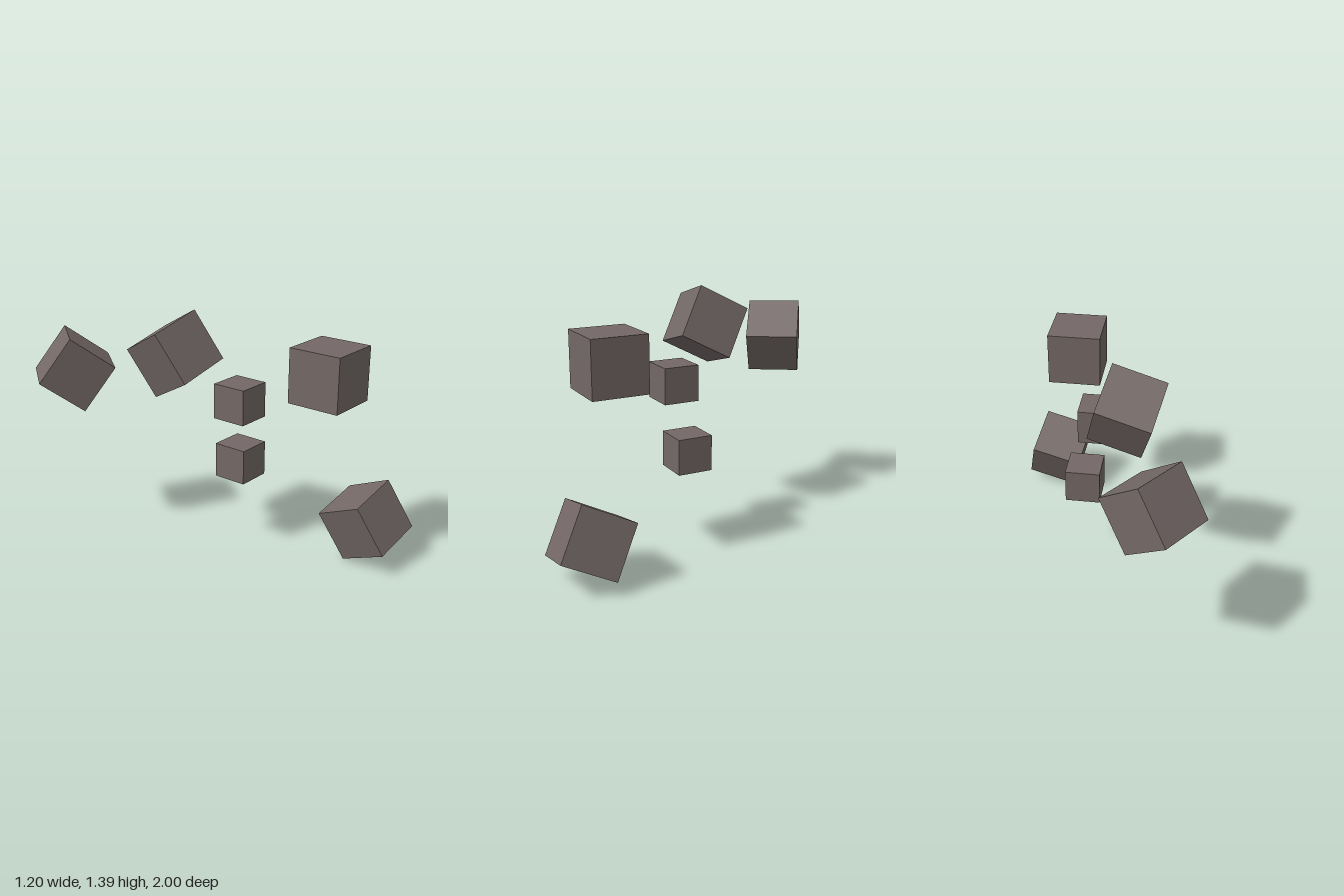
import * as THREE from 'three';

// Six loose cubes, three upright and three tumbled
export function createModel() {
  const group = new THREE.Group();
  const stone = new THREE.MeshStandardMaterial({ color: 0x736866 });
  stone.name = 'warm grey stone';

  // xDir and yDir give the directions of the cube's own x and y edges
  function addCube(name, size, position, xDir = [1, 0, 0], yDir = [0, 1, 0]) {
    const cube = new THREE.Mesh(new THREE.BoxGeometry(size, size, size), stone);
    const x = new THREE.Vector3(...xDir).normalize();
    const z = x.clone().cross(new THREE.Vector3(...yDir)).normalize();
    const y = z.clone().cross(x);
    cube.quaternion.setFromRotationMatrix(new THREE.Matrix4().makeBasis(x, y, z));
    cube.position.set(...position);
    cube.name = name;
    group.add(cube);
  }

  // Upright cubes
  addCube('largeUprightCube', 0.305, [0.237, 1.098, 0.598]);
  addCube('smallUpperCube', 0.2, [0.052, 0.904, 0.148]);
  addCube('smallLowerCube', 0.2, [0.123, 0.52, 0.102]);

  // Tumbled cubes
  addCube('tiltedTopCube', 0.305, [-0.144, 1.158, -0.149], [0.293, 0.082, 0.02], [-0.063, 0.258, -0.15]);
  addCube('tiltedLowCube', 0.305, [0.398, 0.24, 0.785], [0.295, 0.074, 0.018], [-0.057, 0.267, -0.14]);
  addCube('tiltedBackCube', 0.305, [-0.342, 1.008, -0.747], [-0.18, -0.005, 0.246], [-0.197, 0.182, -0.145]);

  return group;
}
